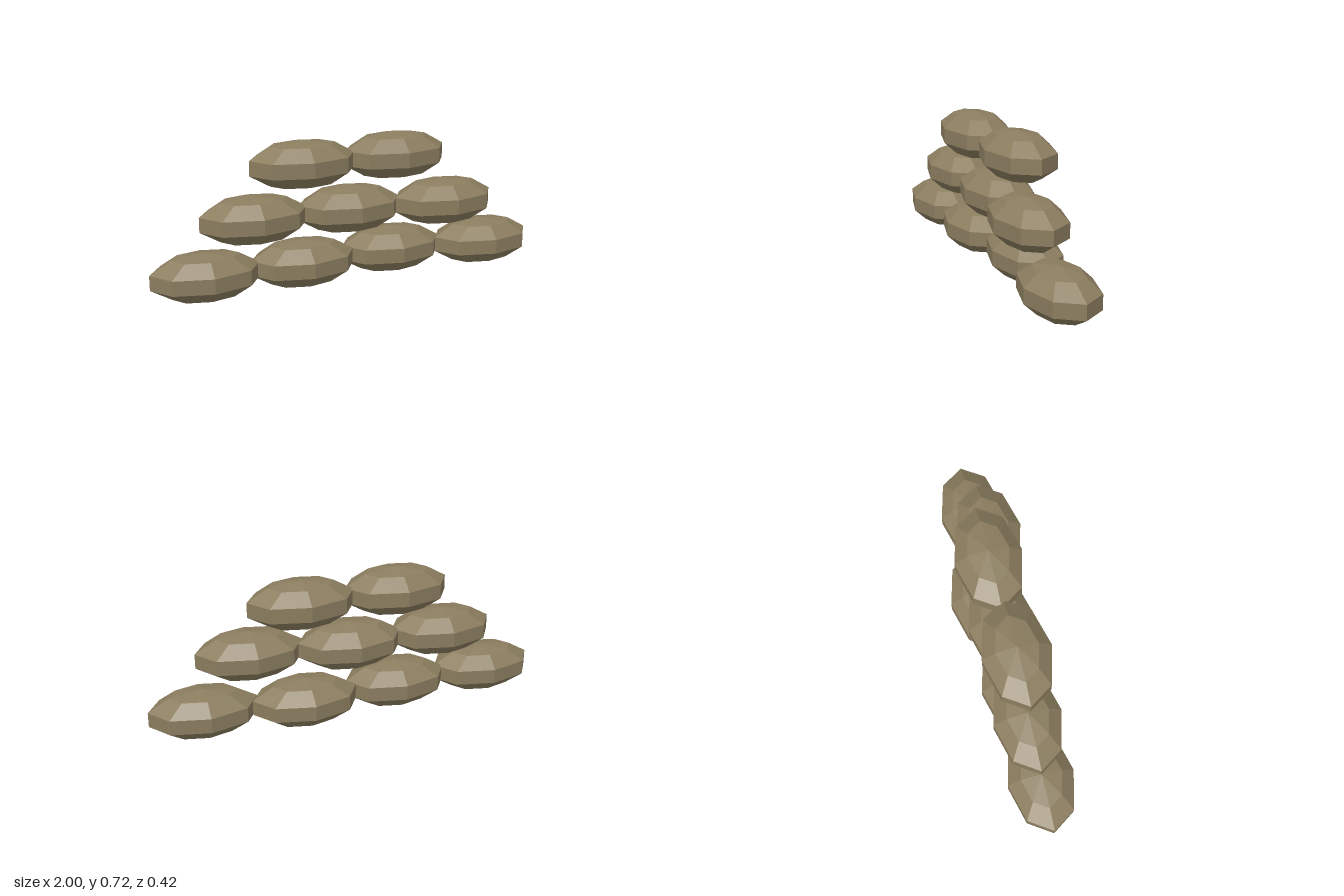
import * as THREE from 'three';

export function createModel() {
  const group = new THREE.Group();
  group.name = 'sandbagWall';

  const material = new THREE.MeshStandardMaterial({ color: 0x8b7d5f, flatShading: true });

  // One sandbag: a coarse sphere squashed into a long flat cushion
  const bag = new THREE.SphereGeometry(1, 8, 5);
  bag.scale(0.2776, 0.117, 0.1725);

  // Depth offset of each bag, from -x to +x, bottom row first
  const rows = [
    [0.009, -0.003, -0.048, 0.0115],
    [-0.001, -0.006, 0.047],
    [0.0055, -0.0095],
  ];
  const spacing = 0.49, rowHeight = 0.2447;

  rows.forEach((depths, row) => {
    const course = new THREE.Group();
    course.name = `sandbagRow${row + 1}`;
    course.position.y = 0.1183 + row * rowHeight;
    depths.forEach((z, i) => {
      const mesh = new THREE.Mesh(bag, material);
      mesh.name = `sandbag${row + 1}_${i + 1}`;
      mesh.position.set((i - (depths.length - 1) / 2) * spacing, 0, z);
      course.add(mesh);
    });
    group.add(course);
  });

  return group;
}
